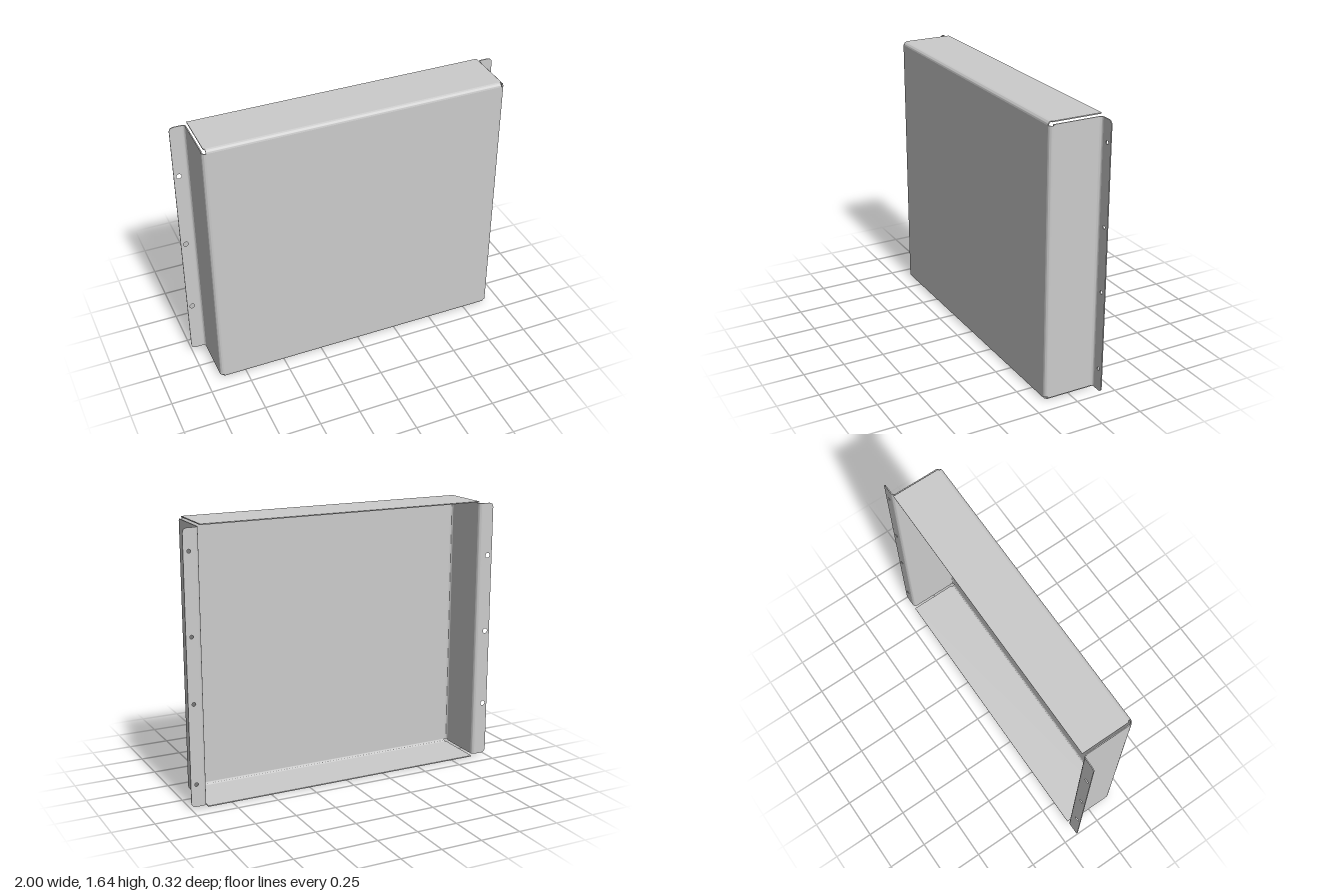
import * as THREE from 'three';
import { toCreasedNormals } from 'three/addons/utils/BufferGeometryUtils.js';

const T = 0.006;                 // sheet thickness
const R = 0.022, RI = R - T;     // outer and inner bend radius
const X = 0.911, H = 1.643, Z = 0.16;   // outer size of the tray
const XB = X - R, ZB = Z - R;    // where the bends begin
const Y0 = 0.014, Y1 = H - Y0;   // ends of the side walls

const grey = new THREE.MeshStandardMaterial({ color: 0xcccccc });

export function createModel() {
  const group = new THREE.Group();

  const add = (name, geometry) => {
    const mesh = new THREE.Mesh(geometry, grey);
    mesh.name = name;
    group.add(mesh);
  };

  // Flat sheet given by its two opposite corners
  const sheet = (name, x0, x1, y0, y1, z0, z1) => {
    const g = new THREE.BoxGeometry(Math.abs(x1 - x0), Math.abs(y1 - y0), Math.abs(z1 - z0));
    add(name, g.translate((x0 + x1) / 2, (y0 + y1) / 2, (z0 + z1) / 2));
  };

  // Quarter-round fold: quadrant q of a ring, extruded along z
  const fold = (cx, cy, q, length) => {
    const a = q * Math.PI / 2, b = a + Math.PI / 2;
    const s = new THREE.Shape();
    s.absarc(cx, cy, R, a, b, false);
    s.absarc(cx, cy, RI, b, a, true);
    s.closePath();
    const g = new THREE.ExtrudeGeometry(s, { depth: length, bevelEnabled: false, curveSegments: 8 });
    return toCreasedNormals(g, Math.PI / 6);
  };

  sheet('frontPanel', -XB, XB, R, H - R, Z - T, Z);

  // Top and bottom walls, with their folds stopping short at the corner reliefs
  for (const top of [true, false]) {
    const side = top ? 'top' : 'bottom';
    const g = fold(-ZB, top ? H - R : R, top ? 1 : 2, 2 * XB);
    add(side + 'Fold', g.rotateY(Math.PI / 2).translate(-XB, 0, 0));
    const y = top ? H - T : 0;
    sheet(side + 'Wall', -0.897, 0.897, y, y + T, -Z, ZB);
  }

  // Side walls with outward mounting flanges at the back
  for (const s of [1, -1]) {
    const side = s > 0 ? 'left' : 'right';
    const front = fold(s * XB, -ZB, s > 0 ? 3 : 2, H - 2 * R);
    add(side + 'FrontFold', front.rotateX(-Math.PI / 2).translate(0, R, 0));
    sheet(side + 'Wall', s * (X - T), s * X, Y0, Y1, -ZB, ZB);

    const xf = X + RI;
    const back = fold(s * xf, ZB, s > 0 ? 1 : 0, Y1 - Y0);
    add(side + 'BackFold', back.rotateX(-Math.PI / 2).translate(0, Y0, 0));

    // Flange outline with rounded outer corners and screw holes
    const r = 0.03;
    const shape = new THREE.Shape();
    shape.moveTo(s * xf, Y0);
    shape.lineTo(s * (1 - r), Y0);
    shape.quadraticCurveTo(s, Y0, s, Y0 + r);
    shape.lineTo(s, Y1 - r);
    shape.quadraticCurveTo(s, Y1, s * (1 - r), Y1);
    shape.lineTo(s * xf, Y1);
    shape.closePath();
    const holes = s > 0 ? [0.15, 0.63, 1.02, 1.5] : [0.35, 0.825, 1.305];
    for (const y of holes) {
      const hole = new THREE.Path();
      hole.absarc(s * (s > 0 ? 0.966 : 0.97), y, s > 0 ? 0.011 : 0.015, 0, Math.PI * 2, true);
      shape.holes.push(hole);
    }
    const flange = new THREE.ExtrudeGeometry(shape, { depth: T, bevelEnabled: false, curveSegments: 12 });
    add(side + 'Flange', toCreasedNormals(flange.translate(0, 0, -Z), Math.PI / 5));
  }

  return group;
}
